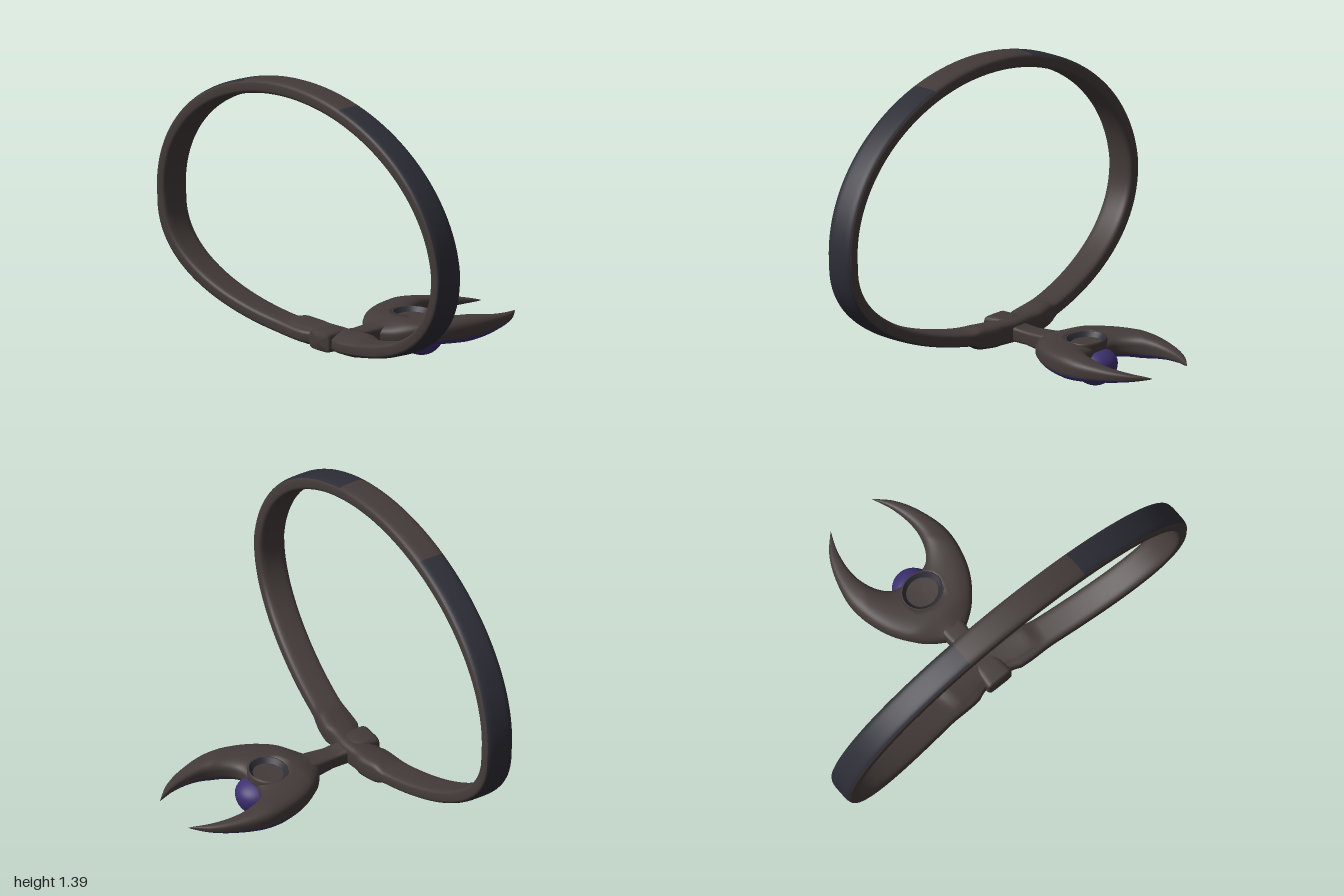
import * as THREE from 'three';

const { smoothstep, clamp } = THREE.MathUtils;
const power = (v, p) => Math.sign(v) * Math.abs(v) ** p;

// Skin closed cross-sections; paint(i, j) picks the material of each quad.
function loft(rings, closed, paint, colours) {
  const n = rings.length, m = rings[0].length;
  const lists = Array.from({ length: colours }, () => []);
  let volume = 0;
  const triple = (a, b, c) => a.dot(b.clone().cross(c));
  for (let i = 0; i < (closed ? n : n - 1); i++) {
    const k = (i + 1) % n;
    for (let j = 0; j < m; j++) {
      const l = (j + 1) % m;
      const a = i * m + j, b = k * m + j, c = k * m + l, d = i * m + l;
      lists[paint(i, j)].push([a, b, c], [a, c, d]);
      volume += triple(rings[i][j], rings[k][j], rings[k][l]) + triple(rings[i][j], rings[k][l], rings[i][l]);
    }
  }
  const g = new THREE.BufferGeometry().setFromPoints(rings.flat());
  const index = [];
  lists.forEach((list, id) => {
    g.addGroup(index.length, list.length * 3, id);
    // Keep every face pointing outwards
    list.forEach(([a, b, c]) => index.push(...(volume > 0 ? [a, b, c] : [a, c, b])));
  });
  g.setIndex(index);
  g.computeVertexNormals();
  return g;
}

// Oval neck band: tall upper arc, shallow lower arc drawn in towards the back
function bandGeometry() {
  const N = 280, M = 32;
  const centre = t => {
    const x = 0.966 * Math.sin(t), c = Math.cos(t);
    const y = 0.67 + (c > 0 ? 0.682 * c : 0.515 * power(c, 0.87));
    const z = c > 0 ? 0.49 + 0.055 * c : 0.338 + 0.152 * Math.abs(Math.sin(t)) ** 1.2;
    return new THREE.Vector3(x, y, z);
  };
  const mids = [], rings = [];
  for (let i = 0; i < N; i++) {
    const t = i / N * Math.PI * 2, p = centre(t);
    const tangent = centre(t + 0.01).sub(centre(t - 0.01)).normalize();
    const normal = new THREE.Vector3(-tangent.y, tangent.x, 0).normalize();
    const axis = tangent.clone().cross(normal).normalize();
    // Thicker plates either side of the clasp, mostly along the back edge
    const x = Math.abs(p.x), low = p.y < 0.4 ? 1 : 0;
    const plate = low * (1 - smoothstep(x, 0.22, 0.28));
    const step = low * smoothstep(x, 0.1, 0.12) * (1 - smoothstep(x, 0.15, 0.32));
    const wide = 0.07 + 0.012 * step;
    const ring = [];
    for (let j = 0; j < M; j++) {
      const a = j / M * Math.PI * 2;
      const back = smoothstep(-Math.sin(a) * axis.z, -0.6, 0.3);
      const thick = 0.034 + 0.02 * plate * back;
      ring.push(p.clone().addScaledVector(normal, thick * power(Math.cos(a), 0.5))
        .addScaledVector(axis, wide * power(Math.sin(a), 0.5)));
    }
    mids.push(p);
    rings.push(ring);
  }
  return loft(rings, true, (i, j) => {
    const p = mids[i], x = Math.abs(p.x);
    // Outer face of the section, whichever way the normal runs
    const mid = (j + 0.5) / M * Math.PI * 2;
    const outward = Math.cos(mid) * Math.sign(rings[i][0].clone().sub(p).dot(new THREE.Vector3(p.x, p.y - 0.67, 0)));
    if (outward < 0.6) return 0;
    if (x > 0.335 && p.y > 0.22) return 1;
    if (p.y < 0.3 && x > 0.1) return outward > 0.92 ? 2 : 1;
    return 0;
  }, 3);
}

// Crescent swept from tip to tip between an outer and an inner edge
function crescentGeometry() {
  const mirrored = pts => new THREE.CatmullRomCurve3(
    [...pts.slice(1).reverse().map(([x, z]) => [-x, z]), ...pts].map(([x, z]) => new THREE.Vector3(x, 0, z)));
  const outer = mirrored([[0, 0.15], [0.055, 0.12], [0.15, 0.05], [0.24, -0.08], [0.283, -0.27], [0.25, -0.43], [0.195, -0.54], [0.12, -0.62]]);
  const inner = mirrored([[0, -0.205], [0.05, -0.207], [0.1, -0.22], [0.145, -0.27], [0.175, -0.35], [0.178, -0.43], [0.158, -0.53], [0.12, -0.62]]);
  const N = 112, M = 56, rings = [];
  for (let i = 0; i <= N; i++) {
    const o = outer.getPoint(i / N), q = inner.getPoint(i / N);
    const h = 0.058 * clamp((o.z + 0.62) / 0.42, 0, 1) ** 0.7;
    const ring = [];
    for (let j = 0; j < M; j++) {
      const a = j / M * Math.PI * 2;
      const p = o.clone().lerp(q, (1 - power(Math.cos(a), 0.85)) / 2);
      p.y = 0.154 + h * power(Math.sin(a), 0.65) - 0.015 * smoothstep(p.z, 0, 0.1);
      // Seat pressed into the top for the dish
      if (a < Math.PI) p.y -= 0.035 * (1 - smoothstep(Math.hypot(p.x, (p.z + 0.12) * 1.15), 0.075, 0.1));
      ring.push(p);
    }
    rings.push(ring);
  }
  return loft(rings, false, (i, j) => {
    const s = Math.sin((j + 0.5) / M * Math.PI * 2);
    return s < -0.35 && rings[i][j].z < 0.07 && rings[i][j].z > -0.54 ? 1 : 0;
  }, 2);
}

// Stem that widens into the clasp, from [z, half width, bottom, top] sections
function stemGeometry() {
  const sections = [
    [0.06, 0.06, 0.1, 0.19], [0.13, 0.055, 0.105, 0.185], [0.2, 0.048, 0.112, 0.18], [0.275, 0.05, 0.112, 0.185],
    [0.295, 0.056, 0.112, 0.207], [0.36, 0.064, 0.113, 0.211], [0.42, 0.07, 0.115, 0.208], [0.432, 0.064, 0.121, 0.202],
    [0.433, 0, 0.16, 0.16],
  ];
  const rings = sections.map(([z, w, low, high]) => Array.from({ length: 28 }, (_, j) => {
    const a = j / 28 * Math.PI * 2;
    return new THREE.Vector3(w * power(Math.cos(a), 0.4), (low + high) / 2 + (high - low) / 2 * power(Math.sin(a), 0.4), z);
  }));
  return loft(rings, false, () => 0, 1);
}

export function createModel() {
  const group = new THREE.Group();
  const material = (name, color, side = THREE.FrontSide) => {
    const m = new THREE.MeshStandardMaterial({ color, side });
    m.name = name;
    return m;
  };
  const brown = material('dark brown metal', 0x433b39);
  const navy = material('navy leather', 0x2d2d37, THREE.DoubleSide);
  const purple = material('purple gem', 0x3d3070);
  const red = material('dark red thread', 0x432a2b);
  const add = (name, geometry, mat, x = 0, y = 0, z = 0) => {
    const mesh = new THREE.Mesh(geometry, mat);
    mesh.name = name;
    mesh.position.set(x, y, z);
    group.add(mesh);
    return mesh;
  };

  add('neckBand', bandGeometry(), [brown, navy, red]);
  add('crescent', crescentGeometry(), [brown, purple]);
  add('stemAndClasp', stemGeometry(), [brown]);

  // Dish in the crescent: brown collar, dark sloping wall, brown floor
  const lathe = pts => new THREE.LatheGeometry(pts.map(([r, y]) => new THREE.Vector2(r, y)), 48);
  const dish = [
    ['dishCollar', [[0.104, 0.15], [0.104, 0.2], [0.1, 0.21], [0.095, 0.21]], brown],
    ['dishWall', [[0.095, 0.21], [0.076, 0.189]], navy],
    ['dishFloor', [[0.076, 0.189], [0.04, 0.187], [0, 0.186]], brown],
  ];
  for (const [name, profile, mat] of dish) add(name, lathe(profile.reverse()), mat, 0, 0, -0.12).scale.z = 0.88;
  for (const mesh of group.children) {
    // Lathe faces of the dish point outwards and upwards
    if (!['dishCollar', 'dishFloor'].includes(mesh.name)) continue;
    const index = mesh.geometry.index.array, normals = mesh.geometry.attributes.normal;
    for (let i = 0; i < index.length; i += 3) [index[i], index[i + 1]] = [index[i + 1], index[i]];
    for (let i = 0; i < normals.array.length; i++) normals.array[i] *= -1;
  }

  // Gem hanging below the dish, its top flattened to sit under it
  const ball = new THREE.SphereGeometry(0.106, 40, 28);
  const pos = ball.attributes.position;
  for (let i = 0; i < pos.count; i++) if (pos.getY(i) > 0) pos.setY(i, pos.getY(i) * 0.65);
  ball.computeVertexNormals();
  add('gem', ball, purple, 0, 0.106, -0.173).scale.x = 0.95;

  return group;
}
